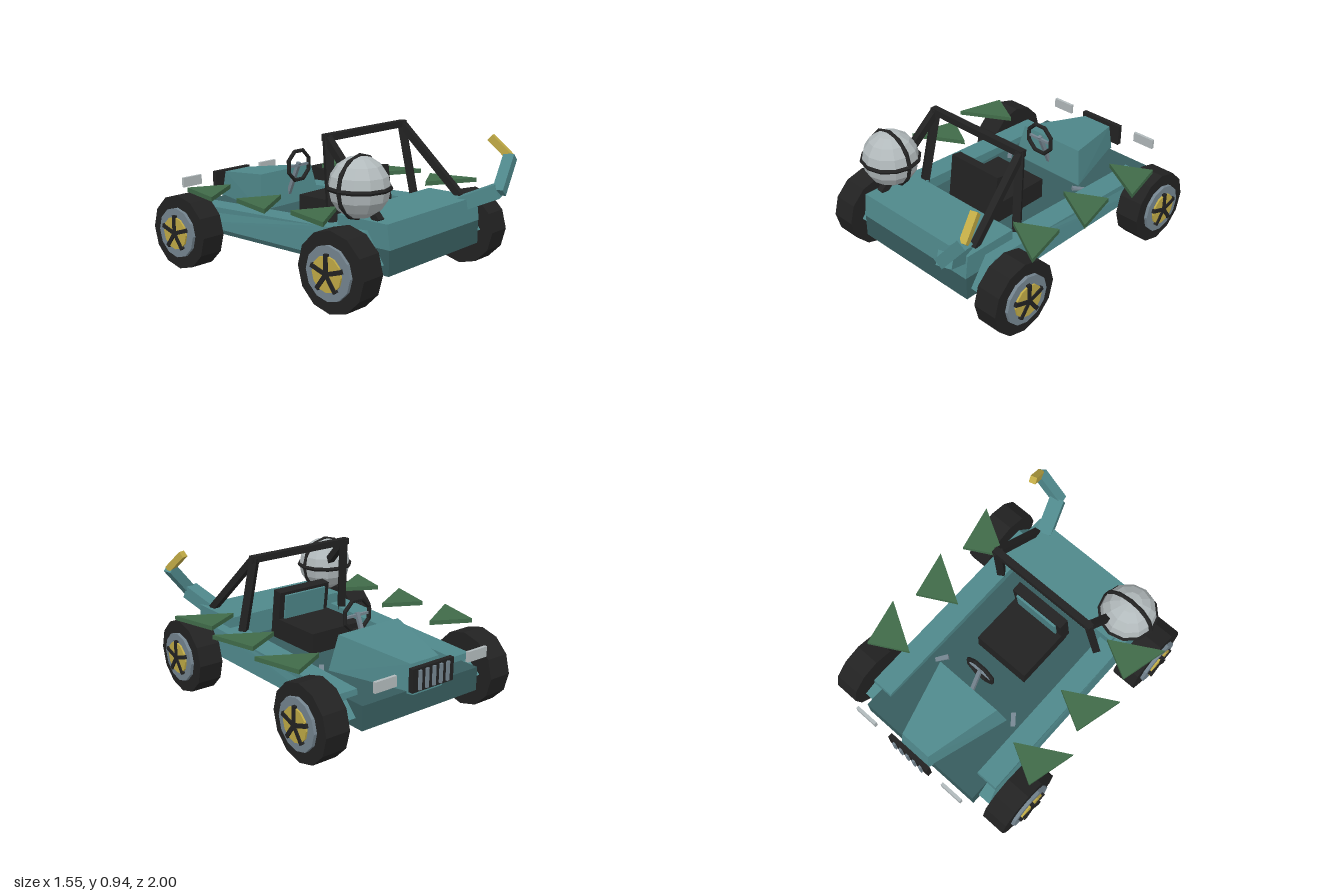
import * as THREE from 'three';
import { ConvexGeometry } from 'three/addons/geometries/ConvexGeometry.js';

const mat = (name, color) => {
  const m = new THREE.MeshStandardMaterial({ color, flatShading: true });
  m.name = name;
  return m;
};

export function createModel() {
  const teal = mat('teal paint', 0x4f888b);
  const darkTeal = mat('dark teal paint', 0x375c5e);
  const black = mat('black', 0x222222);
  const green = mat('leaf green', 0x406b49);
  const yellow = mat('yellow', 0xc0aa45);
  const steel = mat('steel', 0x74848f);
  const pale = mat('pale grey', 0xb2babc);

  const root = new THREE.Group();
  root.name = 'buggy';

  const add = (name, geo, m, x = 0, y = 0, z = 0, parent = root) => {
    const mesh = new THREE.Mesh(geo, m);
    mesh.name = name;
    mesh.position.set(x, y, z);
    parent.add(mesh);
    return mesh;
  };
  const box = (name, m, w, h, d, x, y, z, parent) =>
    add(name, new THREE.BoxGeometry(w, h, d), m, x, y, z, parent);
  // square bar between two points
  const bar = (name, m, a, b, w, h = w) => {
    const p = new THREE.Vector3(...a), q = new THREE.Vector3(...b);
    const c = p.clone().add(q).multiplyScalar(0.5);
    const mesh = box(name, m, w, h, p.distanceTo(q), c.x, c.y, c.z);
    mesh.lookAt(q);
    return mesh;
  };
  // hull from mirrored corner points
  const hull = (name, m, corners) => {
    const pts = corners.flatMap(([x, y, z]) =>
      [new THREE.Vector3(x, y, z), new THREE.Vector3(-x, y, z)]);
    return add(name, new ConvexGeometry(pts), m);
  };

  // Chassis slab, rear deck and tapered hood
  box('chassis', darkTeal, 0.92, 0.153, 1.71, 0, 0.2725, -0.05);
  hull('rearDeck', teal, [
    [0.46, 0.348, 0.425], [0.46, 0.497, 0.425],
    [0.46, 0.348, 0.81], [0.46, 0.497, 0.79],
  ]);
  hull('hood', teal, [
    [0.286, 0.34, -0.385], [0.24, 0.58, -0.425],
    [0.117, 0.335, -0.945], [0.11, 0.515, -0.915],
  ]);

  // Side panels, flared at the lower edge
  const profile = [[-0.85, 0.257], [-0.77, 0.34], [-0.765, 0.386], [0.37, 0.43],
    [0.65, 0.437], [0.77, 0.257]];
  for (const s of [1, -1]) {
    const shape = new THREE.Shape(profile.map(([z, y]) => new THREE.Vector2(-z, y)));
    const geo = new THREE.ExtrudeGeometry(shape, { depth: 0.15, bevelEnabled: false });
    geo.rotateY(Math.PI / 2).translate(s > 0 ? 0.38 : -0.53, 0, 0);
    const p = geo.attributes.position;
    for (let i = 0; i < p.count; i++) {
      if (p.getY(i) < 0.3 && Math.abs(p.getX(i)) > 0.5) p.setX(i, p.getX(i) + s * 0.018);
    }
    geo.computeVertexNormals();
    add(s > 0 ? 'leftSidePanel' : 'rightSidePanel', geo, teal);
  }

  // Wheels: tyre, rim, hub and five spokes
  const disc = (r, w, n) => new THREE.CylinderGeometry(r, r, w, n).rotateZ(Math.PI / 2);
  for (const s of [1, -1]) {
    for (const z of [0.606, -0.686]) {
      const wheel = new THREE.Group();
      wheel.name = (z > 0 ? 'rear' : 'front') + 'Wheel';
      wheel.position.set(s * 0.65, 0.243, z);
      root.add(wheel);
      add('tyre', disc(0.243, 0.166, 12), black, 0, 0, 0, wheel);
      add('rim', disc(0.163, 0.1, 12), steel, s * 0.054, 0, 0, wheel);
      add('hub', disc(0.107, 0.04, 12), yellow, s * 0.096, 0, 0, wheel);
      for (let i = 0; i < 5; i++) {
        const a = (i / 5) * Math.PI * 2;
        const spoke = box('spoke', black, 0.03, 0.118, 0.026, s * 0.109,
          Math.cos(a) * 0.058, Math.sin(a) * 0.058, wheel);
        spoke.rotation.x = a;
      }
    }
    // Front suspension arm
    bar('suspensionArm', steel, [s * 0.6, 0.235, -0.72], [s * 0.285, 0.355, -0.32], 0.03);
  }

  // Seat
  box('seatCushion', black, 0.4, 0.135, 0.42, 0, 0.4175, 0.088);
  const back = new THREE.Group();
  back.name = 'seatBack';
  back.position.set(0, 0.52, 0.272);
  back.rotation.x = -0.13;
  root.add(back);
  box('backrest', black, 0.4, 0.31, 0.07, 0, 0, 0, back);
  box('backrestPanel', teal, 0.32, 0.25, 0.02, 0, 0.01, -0.04, back);

  // Steering wheel and column
  const ring = new THREE.TorusGeometry(0.104, 0.014, 6, 8).rotateZ(Math.PI / 8);
  add('steeringWheel', ring, black, 0, 0.622, -0.312);
  bar('steeringColumn', steel, [0, 0.64, -0.31], [0, 0.4, -0.415], 0.024);
  bar('steeringSpoke', steel, [-0.1, 0.622, -0.312], [0.1, 0.622, -0.312], 0.016);

  // Roll cage
  box('rollBarTop', black, 0.78, 0.042, 0.045, 0, 0.918, 0.262);
  for (const s of [1, -1]) {
    bar('rollBarPost', black, [s * 0.362, 0.93, 0.262], [s * 0.415, 0.4, 0.345], 0.05);
    bar('rollBarBrace', black, [s * 0.368, 0.915, 0.265], [s * 0.415, 0.49, 0.7], 0.045);
  }

  // Grille with slats, and head lamps
  box('grille', black, 0.326, 0.145, 0.032, 0, 0.443, -0.971);
  for (let i = -2; i <= 2; i++) {
    box('grilleSlat', steel, 0.02, 0.12, 0.016, i * 0.055, 0.443, -0.992);
  }
  for (const s of [1, -1]) box('headLamp', pale, 0.158, 0.066, 0.02, s * 0.363, 0.48, -0.978);

  // Leaf-like fins along both sides
  for (const s of [1, -1]) {
    for (let i = 0; i < 3; i++) {
      const leaf = new THREE.Shape([[0.444, 0.5], [0.69, 0.635], [0.77, 0.315]]
        .map(([x, y]) => new THREE.Vector2(s * x, y)));
      const geo = new THREE.ExtrudeGeometry(leaf, { depth: 0.028, bevelEnabled: false });
      geo.rotateX(-Math.PI / 2);
      add('sideFin', geo, green, 0, 0.51, i * 0.452);
    }
  }

  // Ball held by two crossed hoops
  const ball = new THREE.Group();
  ball.name = 'cargoBall';
  ball.position.set(-0.451, 0.68, 0.58);
  root.add(ball);
  add('ball', new THREE.SphereGeometry(0.182, 12, 8), pale, 0, 0, 0, ball);
  const hoop = new THREE.TorusGeometry(0.18, 0.015, 6, 12);
  add('uprightHoop', hoop, black, 0, 0, 0, ball);
  add('levelHoop', hoop, black, 0, 0, 0, ball).rotation.x = Math.PI / 2;

  // Jointed tail arm with yellow tip
  bar('tailBase', teal, [0.375, 0.46, 0.735], [0.447, 0.56, 0.95], 0.1, 0.09);
  bar('tailMiddle', teal, [0.435, 0.55, 0.962], [0.6, 0.75, 0.935], 0.07);
  bar('tailTip', yellow, [0.598, 0.74, 0.945], [0.558, 0.865, 0.815], 0.046);

  return root;
}
